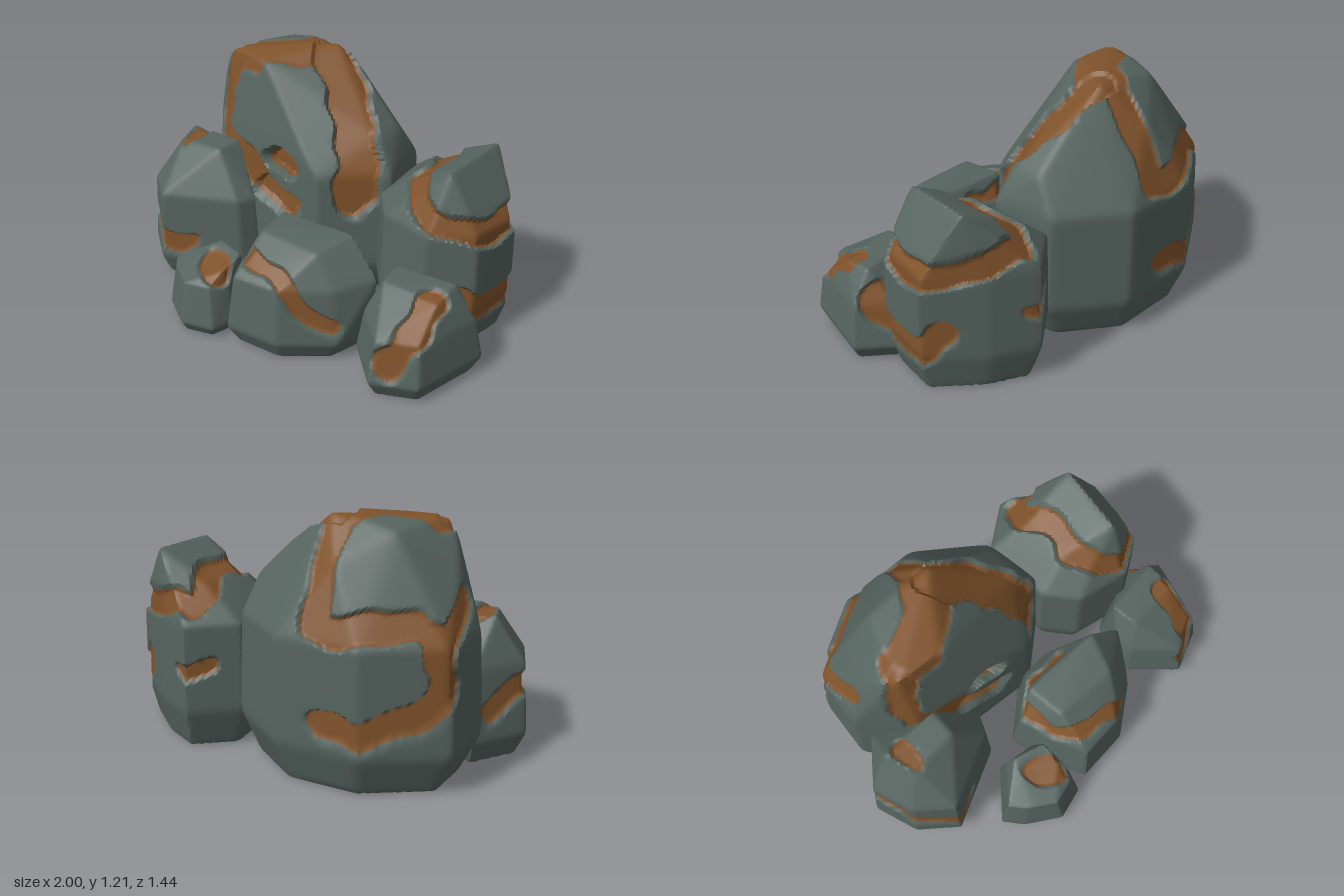
import * as THREE from 'three';
import { ConvexGeometry } from 'three/addons/geometries/ConvexGeometry.js';
import { mergeVertices, toCreasedNormals } from 'three/addons/utils/BufferGeometryUtils.js';

const rockMat = new THREE.MeshStandardMaterial({ color: 0x56645f });
const clayMat = new THREE.MeshStandardMaterial({ color: 0x80532b });
const V = (x, y, z) => new THREE.Vector3(x, y, z);
const toPoints = flat => Array.from({ length: flat.length / 3 }, (_, i) => V().fromArray(flat, 3 * i));

// Corners of a boulder: the footprint repeated at the base, belly and shoulder, then the cap.
function hullPoints(footprint, belly, shoulder, shoulderScale, cap) {
  const outline = Array.from({ length: footprint.length / 2 }, (_, i) => V(footprint[2 * i], 0, footprint[2 * i + 1]));
  const middle = new THREE.Box3().setFromPoints(outline).getCenter(V());
  const ring = (y, s) => outline.map(p => middle.clone().lerp(p, s).setY(y));
  return [...ring(0, .83), ...ring(belly, 1), ...ring(shoulder, shoulderScale), ...toPoints(cap)];
}

// Returns a function giving the distance from the centre to the worn, faceted hull.
function hullRadius(points, centre) {
  const pos = new ConvexGeometry(points).getAttribute('position');
  const planes = [];
  for (let i = 0; i < pos.count; i += 3) {
    const [a, b, c] = [0, 1, 2].map(k => V().fromBufferAttribute(pos, i + k).sub(centre));
    const n = b.clone().sub(a).cross(c.sub(a));
    if (n.length() < 1e-6) continue;
    n.normalize();
    if (!planes.some(q => q.n.dot(n) > .998)) planes.push({ n, d: n.dot(a) });
  }
  return dir => {
    const sum = planes.reduce((s, { n, d }) => s + Math.max(0, n.dot(dir) / d) ** 110, 0);
    return 1.007 * sum ** (-1 / 110);
  };
}

// Keep the part of a triangle where sign * level is positive.
function clipTriangle(tri, sign, out) {
  const poly = [];
  tri.forEach((a, i) => {
    const b = tri[(i + 1) % 3];
    if (a.level * sign >= 0) poly.push(a.p);
    if (a.level * b.level < 0) {
      const [s, e] = a.level < 0 ? [a, b] : [b, a];
      poly.push(s.p.clone().lerp(e.p, s.level / (s.level - e.level)));
    }
  });
  for (let i = 1; i + 1 < poly.length; i++) {
    for (const q of [poly[0], poly[i], poly[i + 1]]) out.push(q.x, q.y, q.z);
  }
}

function makeMesh(name, coords, material) {
  const g = new THREE.BufferGeometry();
  g.setAttribute('position', new THREE.Float32BufferAttribute(coords, 3));
  const mesh = new THREE.Mesh(toCreasedNormals(g, .55), material);
  mesh.name = name;
  return mesh;
}

// A faceted boulder; clay veins follow paths over its surface, sunk below the rock crust.
function makeBoulder(name, detail, points, veins) {
  const centre = new THREE.Box3().setFromPoints(points).getCenter(V());
  const radius = hullRadius(points, centre);
  const onSurface = dir => dir.clone().multiplyScalar(radius(dir)).add(centre);

  const tracks = veins.map(({ width, path, depth = .022 }) => {
    const line = new THREE.CatmullRomCurve3(toPoints(path)).getPoints(path.length * 1.5)
      .map(p => onSurface(p.sub(centre).normalize()));
    return { width, depth, segments: line.slice(1).map((p, i) => new THREE.Line3(line[i], p)) };
  });

  const ball = new THREE.IcosahedronGeometry(1, detail);
  ball.deleteAttribute('uv');
  ball.deleteAttribute('normal');
  const sphere = mergeVertices(ball, 1e-5);
  const pos = sphere.getAttribute('position');
  const near = V();
  const verts = [];
  for (let i = 0; i < pos.count; i++) {
    const dir = V().fromBufferAttribute(pos, i).normalize();
    const p = onSurface(dir);
    const wobble = .011 * Math.sin(31 * p.x + 19 * p.y) + .011 * Math.sin(29 * p.y - 23 * p.z + 1);
    let level = -1, sink = 0;
    for (const { width, depth, segments } of tracks) {
      const gap = Math.min(...segments.map(s => s.closestPointToPoint(p, true, near).distanceTo(p)));
      const inside = width - gap + wobble;
      level = Math.max(level, inside - .012);
      sink = Math.max(sink, depth * THREE.MathUtils.smoothstep(inside, 0, .02));
    }
    p.addScaledVector(dir, -sink);
    p.y = Math.max(0, p.y);
    verts.push({ p, level: level || 1e-6 });
  }

  const rock = [], clay = [], index = sphere.index;
  for (let i = 0; i < index.count; i += 3) {
    const tri = [0, 1, 2].map(k => verts[index.getX(i + k)]);
    clipTriangle(tri, -1, rock);
    clipTriangle(tri, 1, clay);
  }
  const group = new THREE.Group();
  group.name = name;
  group.add(makeMesh(name + 'Crust', rock, rockMat), makeMesh(name + 'Clay', clay, clayMat));
  return group;
}

export function createModel() {
  const model = new THREE.Group();
  model.name = 'rockPile';

  // Tall boulder at the back, with a clay top and a dented front
  model.add(makeBoulder('mainBoulder', 38, hullPoints(
    [-.85, -.5, -.49, -.72, -.07, -.71, .25, -.48, .31, -.17, .03, .08, -.65, .04, -.87, -.2], .2, .7, .97,
    [.2, .87, -.2, .2, .87, -.36, -.73, 1.03, -.2, -.3, 1.03, -.57, -.64, 1.18, -.06, -.4, 1.17, -.04, -.18, 1.24, -.38, -.52, 1.16, -.4]), [
    { width: .13, depth: .012, path: [-.24, 1.2, -.35, -.4, 1.17, -.16, -.58, 1.16, -.1] },
    { width: .085, path: [-.62, 1.15, -.06, -.67, .95, -.02, -.66, .76, .02, -.48, .64, .05, -.36, .54, .07] },
    { width: .1, depth: .06, path: [-.32, .5, .07, -.18, .45, .08] },
    { width: .12, depth: .035, path: [-.18, 1.18, -.32, -.02, 1, -.22, .18, .55, -.04] },
    { width: .08, depth: .08, path: [-.26, .7, .04, -.19, .68, .04] },
    { width: .085, path: [-.24, 1.16, -.46, -.24, .98, -.6, -.28, .76, -.67, -.72, .76, -.5, -.76, .45, -.53, -.55, .3, -.7, -.28, .34, -.72] },
    { width: .07, path: [-.76, .72, -.46, -.78, .85, -.25] },
  ]));

  // Rounded boulder on the right
  model.add(makeBoulder('rightBoulder', 27, hullPoints(
    [-1, .06, -.82, -.18, -.32, .12, -.36, .22, -.74, .42, -.92, .28], .12, .48, .93,
    [-.84, .7, .02, -.78, .7, .18, -.54, .71, .16, -.54, .71, .02]), [
    { width: .055, path: [-.76, .69, .06, -.75, .69, .15] },
    { width: .065, path: [-.6, .2, .36, -.88, .31, .28, -.97, .38, .05, -.88, .26, -.12] },
  ]));

  // Peaked boulder on the left
  model.add(makeBoulder('leftBoulder', 30, hullPoints(
    [.24, -.47, .46, -.64, .68, -.53, .92, -.32, .88, -.04, .68, .1, .4, .05, .27, -.1], .2, .63, .97,
    [.46, .8, -.14, .46, .8, -.42, .7, .91, -.06, .73, .93, -.42]), [
    { width: .075, depth: .03, path: [.44, .8, -.5, .5, .83, -.3, .5, .8, -.05, .7, .7, .05, .9, .62, -.2, .8, .68, -.46, .44, .74, -.56] },
    { width: .09, path: [.82, .28, 0, .9, .2, -.2, .85, .32, -.4] },
    { width: .045, path: [.36, .42, -.56, .5, .4, -.63] },
  ]));

  // Low boulder at the front centre
  model.add(makeBoulder('frontBoulder', 28, hullPoints(
    [-.24, .25, -.02, .05, .16, .04, .48, .24, .43, .43, .2, .61, -.08, .64, -.15, .5], .1, .38, .88,
    [.51, .4, .23, -.08, .54, .2, -.05, .54, .4, .28, .54, .4, .34, .57, .2]), [
    { width: .055, path: [.16, .55, .08, -.14, .46, .2, -.13, .44, .43, .14, .42, .53, .3, .27, .5, .42, .2, .42] },
  ]));

  // Smallest boulder at the front
  model.add(makeBoulder('smallBoulder', 24, hullPoints(
    [-.56, .53, -.38, .31, -.18, .33, -.12, .56, -.15, .67, -.31, .72, -.48, .62], .06, .27, .78,
    [-.36, .34, .45, -.34, .36, .38, -.18, .36, .42, -.17, .34, .54]), [
    { width: .085, path: [-.28, .34, .5, -.22, .31, .56] },
  ]));

  // Boulder at the left front
  model.add(makeBoulder('leftFrontBoulder', 27, hullPoints(
    [.46, .27, .54, .09, .83, -.08, 1, .06, .91, .45, .7, .55, .49, .36], .09, .3, .87,
    [.56, .46, .14, .86, .46, .1, .87, .45, .25, .58, .46, .28]), [
    { width: .085, path: [.83, .42, .24, .76, .17, .5] },
    { width: .1, path: [.83, .25, -.06, .88, .34, .02] },
  ]));

  return model;
}
